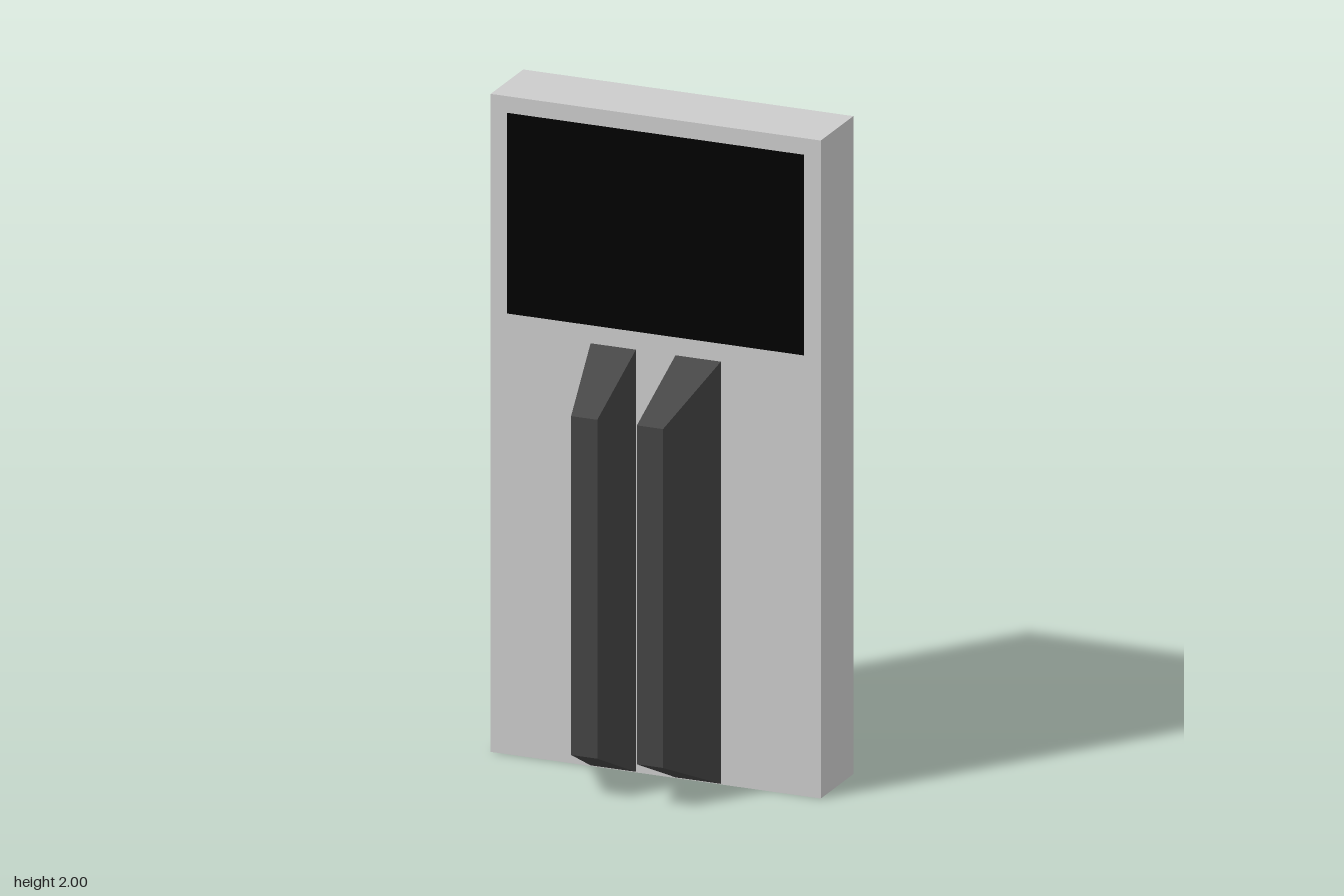
import * as THREE from 'three';

const FACE_Z = -0.022; // front face of the slab
const FRONT_Z = 0.257;

function material(color) {
  return new THREE.MeshStandardMaterial({ color, flatShading: true });
}

// Box whose front end is narrowed on its outer side, top and bottom
function createFin(side) {
  const geometry = new THREE.BoxGeometry(1, 1, 1);
  const p = geometry.attributes.position;
  for (let i = 0; i < p.count; i++) {
    const front = p.getZ(i) > 0;
    const outer = p.getX(i) * side > 0;
    const top = p.getY(i) > 0;
    const x = outer ? (front ? 0.144 : 0.204) : 0.062;
    const y = top ? (front ? 1.16 : 1.285) : (front ? 0.13 : 0.002);
    p.setXYZ(i, x * side, y, front ? FRONT_Z : FACE_Z);
  }
  geometry.computeVertexNormals();
  return new THREE.Mesh(geometry, material(0x444444));
}

export function createModel() {
  const model = new THREE.Group();
  model.name = 'panelWithFins';

  // Upright slab
  const depth = FACE_Z + FRONT_Z;
  const slab = new THREE.Mesh(new THREE.BoxGeometry(1.034, 2, depth), material(0xcccccc));
  slab.name = 'slab';
  slab.position.set(0, 1, FACE_Z - depth / 2);
  model.add(slab);

  // Flat black screen on the upper front
  const screen = new THREE.Mesh(new THREE.PlaneGeometry(0.93, 0.61), material(0x000000));
  screen.name = 'screen';
  screen.position.set(0, 1.645, FACE_Z + 0.001);
  model.add(screen);

  // Mirrored pair of tapered fins
  for (const side of [1, -1]) {
    const fin = createFin(side);
    fin.name = side > 0 ? 'leftFin' : 'rightFin';
    model.add(fin);
  }

  return model;
}
